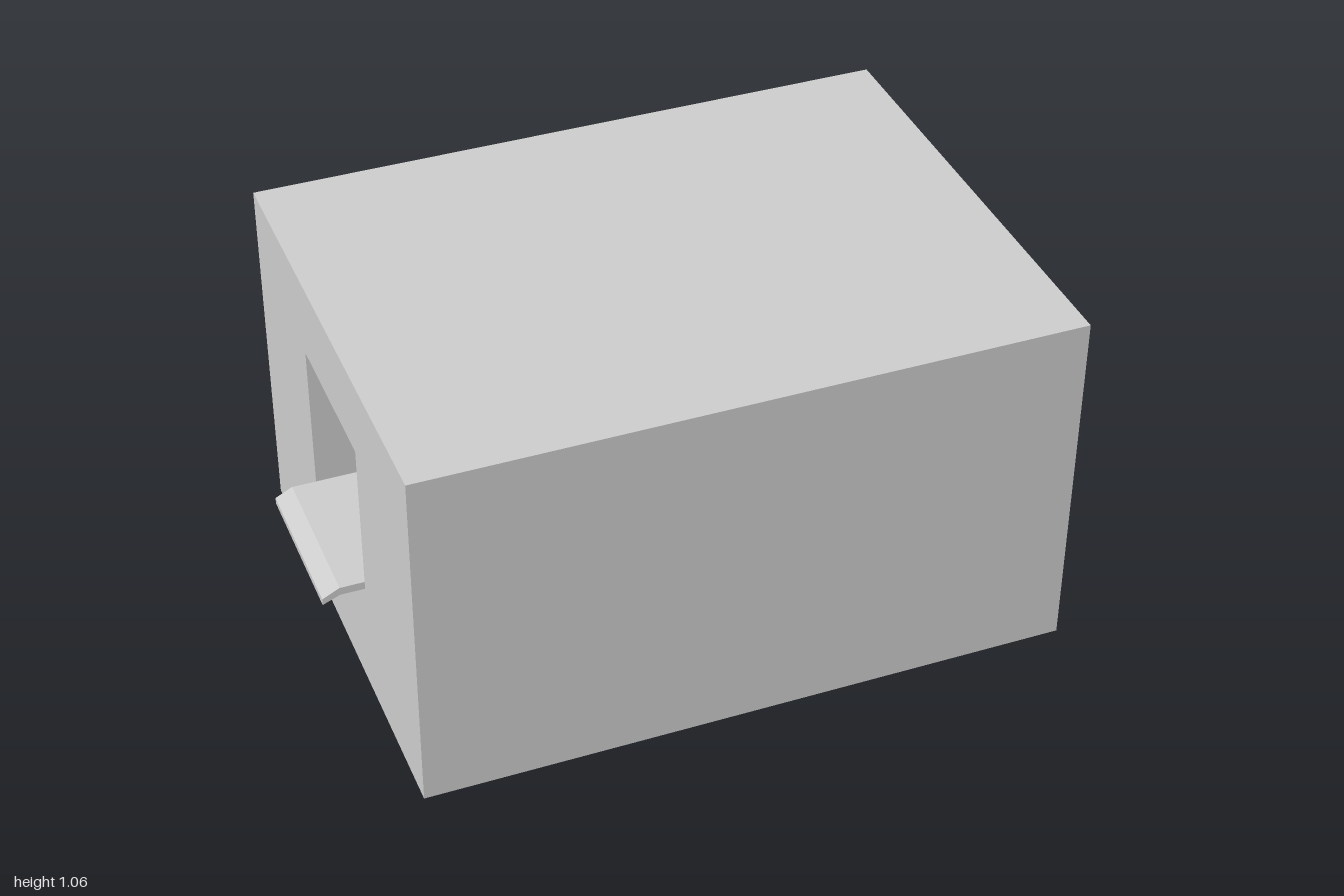
import * as THREE from 'three';

const material = new THREE.MeshStandardMaterial({ color: 0xcccccc, flatShading: true });

// Regions in the y/z plane
const OUTER = { y0: 0, y1: 1.06, z0: -0.705, z1: 0.705 };
const INNER = { y0: 0.12, y1: 0.94, z0: -0.585, z1: 0.585 };
const DOORWAY = { y0: 0.12, y1: 0.59, z0: -0.47, z1: -0.115 };
const WINDOW = { y0: 0.355, y1: 0.825, z0: -0.235, z1: 0.235 };

// Four-sided sleeve along x, open at both ends
function sleeve(r, x0, x1, inward) {
  const geo = new THREE.BoxGeometry(x1 - x0, r.y1 - r.y0, r.z1 - r.z0);
  let index = Array.from(geo.index.array).slice(12); // drop the two x ends
  if (inward) index.reverse();
  geo.setIndex(index);
  geo.computeVertexNormals();
  geo.translate((x0 + x1) / 2, (r.y0 + r.y1) / 2, (r.z0 + r.z1) / 2);
  return geo;
}

// Flat end wall at x, facing dir, with a rectangular opening
function endWall(r, hole, x, dir) {
  const corners = (q) => [[q.z0, q.y0], [q.z1, q.y0], [q.z1, q.y1], [q.z0, q.y1]]
    .map(([z, y]) => new THREE.Vector2(-dir * z, y));
  const shape = new THREE.Shape(corners(r));
  shape.holes.push(new THREE.Path(corners(hole)));
  return new THREE.ShapeGeometry(shape).rotateY(dir * Math.PI / 2).translate(x, 0, 0);
}

export function createModel() {
  const group = new THREE.Group();
  const add = (name, geo) => {
    const mesh = new THREE.Mesh(geo, material);
    mesh.name = name;
    group.add(mesh);
  };

  // Hollow building
  add('outerShell', sleeve(OUTER, -0.88, 1, false));
  add('roomLining', sleeve(INNER, -0.76, 0.88, true));

  // End walls, both skins, with the linings of their openings
  add('doorWallOutside', endWall(OUTER, DOORWAY, 1, 1));
  add('doorWallInside', endWall(INNER, DOORWAY, 0.88, -1));
  add('doorwayReveal', sleeve(DOORWAY, 0.88, 1, true));
  add('windowWallOutside', endWall(OUTER, WINDOW, -0.88, -1));
  add('windowWallInside', endWall(INNER, WINDOW, -0.76, 1));
  add('windowReveal', sleeve(WINDOW, -0.88, -0.76, true));

  // Serving counter through the window, with a drooping outer lip
  const profile = [[-1, 0.335], [-0.95, 0.356], [-0.72, 0.356], [-0.72, 0.38], [-0.95, 0.38], [-1, 0.355]];
  const counter = new THREE.Shape(profile.map(([x, y]) => new THREE.Vector2(x, y)));
  add('counter', new THREE.ExtrudeGeometry(counter, { depth: 0.468, bevelEnabled: false })
    .translate(0, 0, -0.234));

  // Slim ledge along the inside of the front wall
  add('wallLedge', new THREE.BoxGeometry(1.64, 0.015, 0.02).translate(0.06, 0.25, 0.575));
  return group;
}
